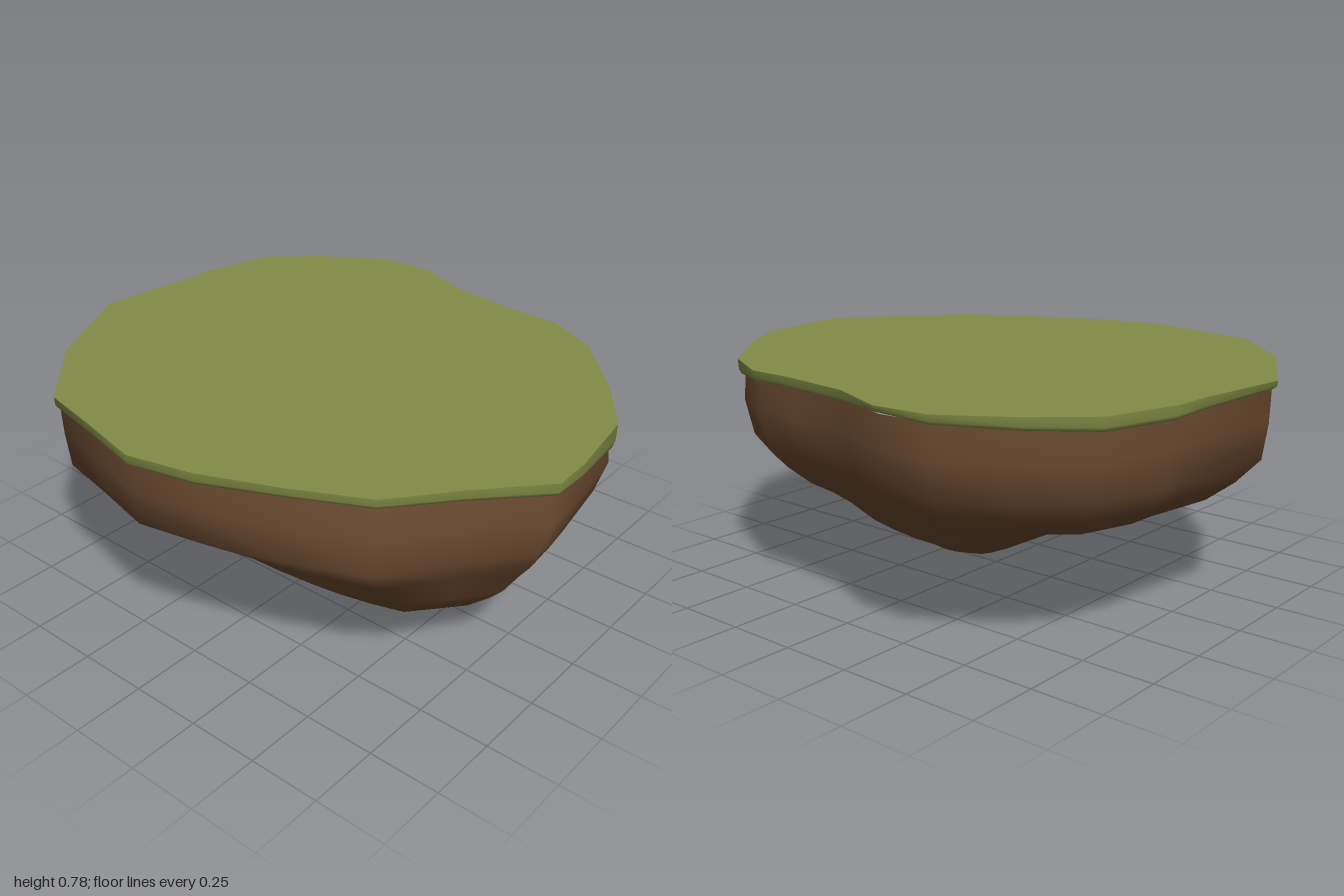
import * as THREE from 'three';

// Island outline seen from above (x, z) with the lower height of the turf edge
const OUTLINE = [
  [-0.16, -1.0, 0.755], [0.2, -0.95, 0.74], [0.33, -0.945, 0.735], [0.58, -0.87, 0.735],
  [0.73, -0.7, 0.74], [0.87, -0.48, 0.75], [0.885, -0.28, 0.76], [0.8, -0.06, 0.745],
  [0.77, 0.22, 0.745], [0.77, 0.38, 0.745], [0.67, 0.58, 0.73], [0.43, 0.8, 0.7],
  [0.23, 0.94, 0.695], [-0.05, 0.985, 0.725], [-0.19, 0.99, 0.735], [-0.4, 0.8, 0.74],
  [-0.6, 0.64, 0.745], [-0.72, 0.4, 0.745], [-0.83, 0.14, 0.74], [-0.885, -0.09, 0.74],
  [-0.83, -0.33, 0.74], [-0.785, -0.55, 0.74], [-0.53, -0.8, 0.745],
];
const TOP = 0.78;

// Rock levels: y, x min, x max, z min, z max, bulge of the front left corner
const LEVELS = [
  [0.75, -0.87, 0.86, -0.98, 0.975, 0],
  [0.64, -0.868, 0.866, -0.978, 0.985, 0.03],
  [0.52, -0.855, 0.85, -0.96, 0.945, 0.06],
  [0.44, -0.74, 0.77, -0.89, 0.895, 0.1],
  [0.37, -0.63, 0.67, -0.8, 0.84, 0.12],
  [0.29, -0.53, 0.5, -0.5, 0.79, 0.1],
  [0.23, -0.465, 0.4, -0.38, 0.74, 0.07],
  [0.14, -0.36, 0.28, -0.21, 0.65, 0.04],
  [0.08, -0.22, 0.17, -0.09, 0.59, 0],
  [0.045, -0.14, 0.11, -0.02, 0.47, 0],
  [0.0, -0.06, -0.06, 0.35, 0.35, 0],
];

// Joins closed rings of points, listed from the top downwards
function loft(rings) {
  const n = rings[0].length;
  const index = [];
  for (let r = 0; r < rings.length - 1; r++) {
    for (let i = 0; i < n; i++) {
      const j = (i + 1) % n;
      const a = r * n + i, b = r * n + j, c = a + n, d = b + n;
      index.push(a, b, c, b, d, c);
    }
  }
  const geometry = new THREE.BufferGeometry();
  geometry.setAttribute('position', new THREE.Float32BufferAttribute(rings.flat(2), 3));
  geometry.setIndex(index);
  geometry.computeVertexNormals();
  return geometry;
}

// Fits the outline into the extents of one rock level
function rockRing([y, x0, x1, z0, z1, bulge]) {
  return OUTLINE.map(([x, z]) => {
    const corner = Math.max(0, (-x * 0.65 + z * 0.76) / Math.hypot(x, z));
    const push = bulge * corner ** 6;
    return [
      (x0 + x1) / 2 + (x / 0.885) * (x1 - x0) / 2 - push * 0.65,
      y,
      (z0 + z1) / 2 + z * (z1 - z0) / 2 + push * 0.5,
    ];
  });
}

// Turf ring: scaled outline, t runs from the top (0) to the lower edge (1)
const turfRing = (scale, t) =>
  OUTLINE.map(([x, z, low]) => [x * scale, TOP + (low - TOP) * t, z * scale]);

export function createModel() {
  const grass = new THREE.MeshStandardMaterial({ color: 0x828c46 });
  grass.name = 'grassGreen';
  const earth = new THREE.MeshStandardMaterial({ color: 0x6b4a30 });
  earth.name = 'earthBrown';

  const group = new THREE.Group();
  group.name = 'floatingIsland';
  const add = (name, geometry, material) => {
    const mesh = new THREE.Mesh(geometry, material);
    mesh.name = name;
    group.add(mesh);
  };

  // Flat lawn, turf edge curling under, and the rock beneath
  add('grassTop', loft([turfRing(0, 0), turfRing(1, 0)]), grass);
  add('grassEdge', loft([turfRing(1, 0), turfRing(0.998, 0.7), turfRing(0.99, 1), turfRing(0.95, 0.95)]), grass);
  add('rockBase', loft(LEVELS.map(rockRing)), earth);
  return group;
}
